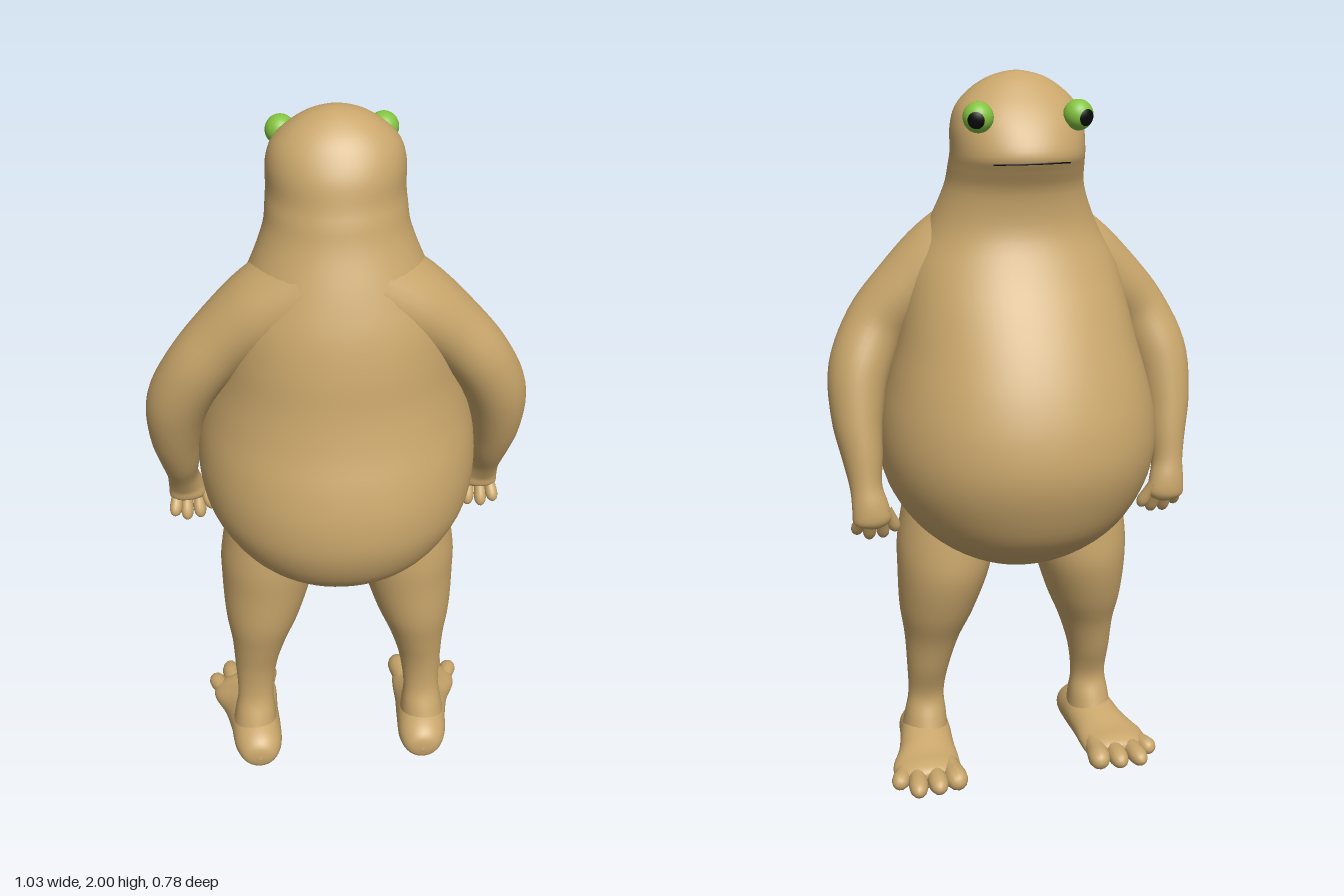
import * as THREE from 'three';

const skin = new THREE.MeshStandardMaterial({ color: 0xc9a66b });
skin.name = 'tan skin';
const green = new THREE.MeshStandardMaterial({ color: 0x84c440 });
green.name = 'green eye';
const black = new THREE.MeshStandardMaterial({ color: 0x0a0a0a });
black.name = 'black pupil';

// Catmull-Rom blend of whole rows of numbers
function sampleRows(rows, t) {
  const n = rows.length - 1;
  const i = Math.min(Math.floor(t * n), n - 1);
  const f = t * n - i;
  const [a, b, c, d] = [i - 1, i, i + 1, i + 2].map(k => rows[Math.min(Math.max(k, 0), n)]);
  return b.map((_, k) => 0.5 * (2 * b[k] + (c[k] - a[k]) * f
    + (2 * a[k] - 5 * b[k] + 4 * c[k] - d[k]) * f * f
    + (3 * b[k] - a[k] - 3 * c[k] + d[k]) * f * f * f));
}

// Smooth closed skin over ellipse rings [x, y, z, radiusAlongRef, radiusAcross]
function loft(name, rows, { ref = [0, 0, 1], axis = null, sides = 32, steps = 5, floor = false, power = 1 } = {}) {
  const count = (rows.length - 1) * steps;
  const pos = [], index = [];
  const rings = [];
  for (let i = 0; i <= count; i++) rings.push(sampleRows(rows, i / count));
  const centre = i => new THREE.Vector3(...rings[Math.min(Math.max(i, 0), count)].slice(0, 3));
  const bend = v => Math.sign(v) * Math.pow(Math.abs(v), power);
  rings.forEach((r, i) => {
    const T = axis ? new THREE.Vector3(...axis) : centre(i + 1).sub(centre(i - 1)).normalize();
    const A = new THREE.Vector3(...ref);
    A.addScaledVector(T, -A.dot(T)).normalize();
    const B = T.clone().cross(A);
    for (let j = 0; j < sides; j++) {
      const th = j / sides * Math.PI * 2;
      const p = centre(i)
        .addScaledVector(A, bend(Math.cos(th)) * Math.max(r[3], 0.0005))
        .addScaledVector(B, bend(Math.sin(th)) * Math.max(r[4], 0.0005));
      pos.push(p.x, floor ? Math.max(p.y, 0) : p.y, p.z);
      if (i < count) {
        const a = i * sides + j, b = i * sides + (j + 1) % sides;
        index.push(a, b, b + sides, a, b + sides, a + sides);
      }
    }
  });
  const geo = new THREE.BufferGeometry();
  geo.setAttribute('position', new THREE.Float32BufferAttribute(pos, 3));
  geo.setIndex(index);
  geo.computeVertexNormals();
  const mesh = new THREE.Mesh(geo, skin);
  mesh.name = name;
  return mesh;
}

// Rounded finger or toe between two points
function digit(name, from, to, r, floor = false) {
  const at = (t, k) => [...from.map((v, i) => v + (to[i] - v) * t), r * k, r * k];
  return loft(name, [at(0, 0.8), at(0.4, 0.9), at(0.7, 1), at(0.88, 0.8), at(0.97, 0.42), at(1, 0)],
    { ref: [1, 0, 0], sides: 12, steps: 3, floor });
}

export function createModel() {
  const model = new THREE.Group();
  model.name = 'creature';

  // Head, neck and pot belly: [y, back z, front z, half width]
  const profile = [
    [0.65, 0.06, -0.03, 0], [0.665, 0.14, -0.10, 0.10], [0.72, 0.25, -0.215, 0.21],
    [0.8, 0.34, -0.31, 0.30], [0.9, 0.385, -0.362, 0.36], [1.0, 0.39, -0.388, 0.38],
    [1.1, 0.37, -0.38, 0.375], [1.2, 0.337, -0.35, 0.352], [1.3, 0.313, -0.305, 0.325],
    [1.4, 0.298, -0.25, 0.305], [1.5, 0.275, -0.19, 0.28], [1.6, 0.24, -0.147, 0.228],
    [1.7, 0.2, -0.15, 0.187], [1.76, 0.183, -0.178, 0.178], [1.8, 0.17, -0.195, 0.175],
    [1.86, 0.155, -0.168, 0.174], [1.91, 0.13, -0.132, 0.16], [1.95, 0.1, -0.093, 0.125],
    [1.98, 0.062, -0.058, 0.08], [1.995, 0.03, -0.028, 0.035], [2.0, 0, 0, 0],
  ];
  model.add(loft('body', profile.map(([y, b, f, w]) => [0, y, (b + f) / 2, (b - f) / 2, w]),
    { axis: [0, 1, 0], sides: 64, steps: 4, power: 0.96 }));

  // Mouth line following the snout
  const lip = [];
  for (let i = -6; i <= 6; i++) {
    const a = i * 0.1;
    lip.push(new THREE.Vector3(Math.sin(a) * 0.176, 1.785 - 0.01 * a * a, -0.008 - Math.cos(a) * 0.183));
  }
  const mouth = new THREE.Mesh(
    new THREE.TubeGeometry(new THREE.CatmullRomCurve3(lip), 24, 0.003, 6), black);
  mouth.name = 'mouth';
  model.add(mouth);

  for (const s of [1, -1]) {
    const side = s > 0 ? 'left' : 'right';
    const flip = rows => rows.map(([x, ...rest]) => [x * s, ...rest]);
    const pt = (x, y, z) => [x * s, y, z];

    // Arm from deep in the shoulder to the palm
    const arm = new THREE.Group();
    arm.name = side + 'Arm';
    arm.add(loft(side + 'ArmLimb', flip([
      [0.08, 1.57, 0.08, 0.15, 0.12], [0.19, 1.505, 0.08, 0.135, 0.11], [0.29, 1.425, 0.08, 0.108, 0.093],
      [0.37, 1.335, 0.08, 0.092, 0.086], [0.425, 1.22, 0.05, 0.092, 0.083], [0.44, 1.1, 0.015, 0.083, 0.07],
      [0.435, 1.0, -0.018, 0.068, 0.056], [0.432, 0.92, -0.048, 0.048, 0.044], [0.425, 0.865, -0.068, 0.04, 0.05],
      [0.42, 0.825, -0.07, 0.034, 0.05], [0.42, 0.805, -0.065, 0, 0],
    ])));
    [[0.385, 0.865, 0.352, 0.785, -0.05], [0.395, 0.845, 0.388, 0.765, -0.035],
      [0.425, 0.845, 0.427, 0.762, -0.03], [0.45, 0.845, 0.462, 0.78, -0.025]]
      .forEach(([x, y, tx, ty, tz], i) =>
        arm.add(digit(side + 'Finger' + (i + 1), pt(x, y, -0.08), pt(tx, ty, tz), 0.018)));
    model.add(arm);

    // Leg
    const leg = new THREE.Group();
    leg.name = side + 'Leg';
    leg.add(loft(side + 'LegLimb', flip([
      [0.18, 0.85, 0.05, 0.14, 0.13], [0.195, 0.72, 0.047, 0.152, 0.138], [0.205, 0.62, 0.045, 0.15, 0.13],
      [0.222, 0.5, 0.06, 0.128, 0.108], [0.236, 0.4, 0.073, 0.093, 0.08], [0.248, 0.3, 0.08, 0.065, 0.062],
      [0.253, 0.2, 0.097, 0.045, 0.053], [0.256, 0.13, 0.1, 0.068, 0.061], [0.26, 0.05, 0.1, 0.1, 0.07],
    ]), { axis: [0, -1, 0] }));

    // Flat-soled foot with four toes
    leg.add(loft(side + 'Foot', flip([
      [0.25, 0.04, 0.235, 0, 0], [0.25, 0.042, 0.225, 0.045, 0.04], [0.252, 0.05, 0.18, 0.07, 0.062],
      [0.258, 0.055, 0.1, 0.076, 0.075], [0.27, 0.045, 0.02, 0.083, 0.062], [0.285, 0.038, -0.05, 0.098, 0.046],
      [0.285, 0.034, -0.1, 0.09, 0.04], [0.285, 0.034, -0.13, 0.05, 0.025], [0.285, 0.034, -0.135, 0, 0],
    ]), { ref: [1, 0, 0], axis: [0, 0, -1], floor: true }));
    [[0.225, 0.212, -0.185, 0.033], [0.27, 0.272, -0.2, 0.029], [0.315, 0.335, -0.203, 0.028],
      [0.345, 0.385, -0.145, 0.026]]
      .forEach(([x, tx, tz, r], i) =>
        leg.add(digit(side + 'Toe' + (i + 1), pt(x, 0.042, -0.05), pt(tx, 0.035, tz), r, true)));
    model.add(leg);

    // Bulging eye with a pupil cap
    const eye = new THREE.Group();
    eye.name = side + 'Eye';
    const ball = new THREE.Mesh(new THREE.SphereGeometry(0.039, 24, 16), green);
    ball.name = side + 'Eyeball';
    const pupil = new THREE.Mesh(new THREE.SphereGeometry(0.0405, 20, 6, 0, Math.PI * 2, 0, 0.56), black);
    pupil.name = side + 'Pupil';
    pupil.quaternion.setFromUnitVectors(new THREE.Vector3(0, 1, 0),
      new THREE.Vector3(0.4 * s, -0.15, -1).normalize());
    eye.add(ball, pupil);
    eye.position.set(0.13 * s, 1.895, -0.123);
    model.add(eye);
  }
  return model;
}
